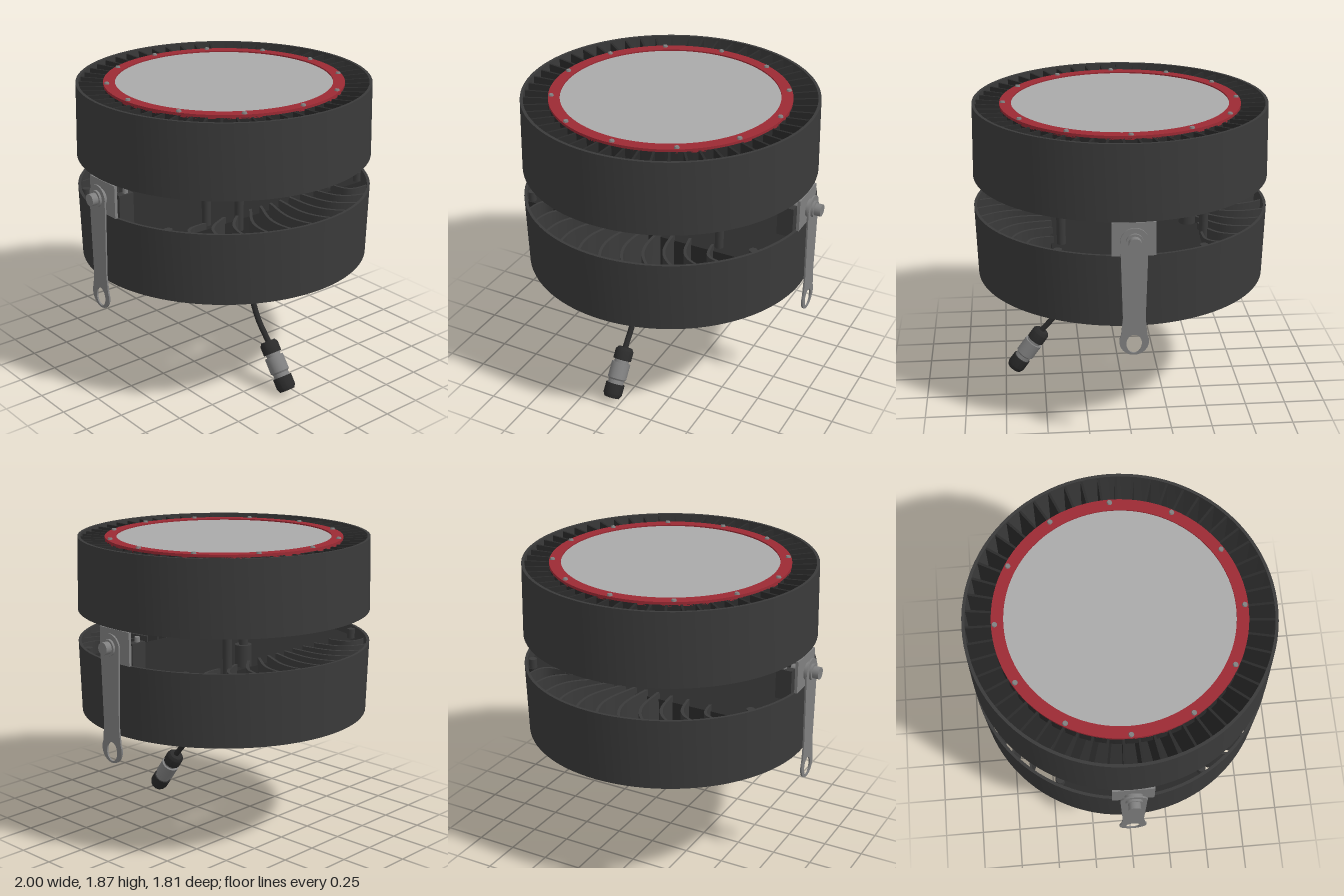
import * as THREE from 'three';
import { toCreasedNormals } from 'three/addons/utils/BufferGeometryUtils.js';

const material = (color) => new THREE.MeshStandardMaterial({ color, side: THREE.DoubleSide });
const HALF_BOX = 0.45; // half depth of the driver box

export function createModel() {
  const model = new THREE.Group();
  const dark = material(0x3a3a3a), black = material(0x2a2a2a), red = material(0x9c2a34);
  const lens = material(0xaaaaaa), steel = material(0x808080);

  const add = (name, geometry, mat, parent = model) => {
    const mesh = new THREE.Mesh(geometry, mat);
    mesh.name = name;
    parent.add(mesh);
    return mesh;
  };
  const lathe = (points, segments = 96) => toCreasedNormals(
    new THREE.LatheGeometry(points.map(([r, y]) => new THREE.Vector2(r, y)), segments), 0.6);
  const cylinder = (name, r0, r1, h, x, y, z, mat, parent = model, sides = 20) => {
    const mesh = add(name, new THREE.CylinderGeometry(r0, r1, h, sides), mat, parent);
    mesh.position.set(x, y, z);
    return mesh;
  };
  const box = (name, w, h, d, x, y, z, mat, parent = model) => {
    const mesh = add(name, new THREE.BoxGeometry(w, h, d), mat, parent);
    mesh.position.set(x, y, z);
    return mesh;
  };

  // Upper and lower shrouds, slightly tapered
  add('upperShroud', lathe([[0.905, 1.42], [0.895, 1.87], [0.877, 1.87], [0.887, 1.42], [0.905, 1.42]]), dark);
  add('lowerShroud', lathe([[0.895, 0.78], [0.907, 1.22], [0.889, 1.22], [0.877, 0.78], [0.895, 0.78]]), dark);

  // Heat sink: base plate, hub and radial fins
  add('heatSinkPlate', lathe([[0, 1.76], [0.73, 1.76], [0.73, 1.848], [0, 1.848]]), black);
  cylinder('heatSinkHub', 0.24, 0.22, 0.26, 0, 1.64, 0, black, model, 32);
  const finShape = new THREE.Shape([[0.2, 1.56], [0.6, 1.45], [0.885, 1.45], [0.885, 1.858],
    [0.725, 1.848], [0.725, 1.8], [0.2, 1.8]].map(([x, y]) => new THREE.Vector2(x, y)));
  const finGeometry = new THREE.ExtrudeGeometry(finShape, { depth: 0.014, bevelEnabled: false });
  finGeometry.translate(0, 0, -0.007);
  const fins = new THREE.Group();
  fins.name = 'heatSinkFins';
  model.add(fins);
  const finCount = 54;
  for (let i = 0; i < finCount; i++) {
    add('fin', finGeometry, black, fins).rotation.y = ((i + 0.5) / finCount) * Math.PI * 2;
  }

  // Lens with red clamping ring and its screws
  cylinder('lens', 0.67, 0.67, 0.012, 0, 1.85, 0, lens, model, 96);
  add('clampRing', lathe([[0.66, 1.84], [0.73, 1.84], [0.73, 1.864], [0.66, 1.864], [0.66, 1.84]]), red);
  for (let i = 0; i < 12; i++) {
    const a = (i / 12) * Math.PI * 2;
    cylinder('ringScrew', 0.013, 0.017, 0.012, 0.71 * Math.cos(a), 1.868, 0.71 * Math.sin(a), steel, model, 12);
  }

  // Driver box: a block cut to the round shroud, with a shallow conical underside
  const driver = new THREE.BoxGeometry(2, 2, 2, 40, 1, 20);
  const p = driver.attributes.position;
  const coneY = (x, z) => 0.735 + 0.055 * Math.hypot(x, z) / 0.885;
  for (let i = 0; i < p.count; i++) {
    const z = p.getZ(i) * HALF_BOX;
    const x = p.getX(i) * Math.sqrt(0.885 ** 2 - z * z);
    p.setXYZ(i, x, p.getY(i) > 0 ? 1.15 : coneY(x, z), z);
  }
  driver.computeVertexNormals();
  add('driverBox', driver, black);

  // Curved ribs fanning out over the underside
  const ribs = new THREE.Group();
  ribs.name = 'undersideRibs';
  model.add(ribs);
  for (let i = 0; i < 28; i++) {
    const points = [];
    for (let r = 0.08; r < 0.87; r += 0.03) {
      const a = (i / 28) * Math.PI * 2 + 0.5 * Math.sin(r * 4);
      const x = r * Math.cos(a), z = r * Math.sin(a);
      if (Math.abs(z) > 0.44) break;
      points.push(new THREE.Vector3(x, coneY(x, z), z));
    }
    add('rib', new THREE.TubeGeometry(new THREE.CatmullRomCurve3(points), 24, 0.011, 5), black, ribs);
  }

  // Bent vanes in the open segments on both sides of the driver box
  const vanes = new THREE.Group();
  vanes.name = 'airVanes';
  model.add(vanes);
  for (const side of [0, Math.PI]) {
    for (let i = 0; i < 11; i++) {
      const angle = side + Math.PI / 2 + (i - 5) * 0.17;
      const inner = (HALF_BOX - 0.01) / Math.abs(Math.sin(angle));
      const vane = new THREE.BoxGeometry(1, 0.32, 0.018, 10, 1, 1);
      const v = vane.attributes.position;
      for (let k = 0; k < v.count; k++) {
        const t = v.getX(k) + 0.5, r = inner + (0.89 - inner) * t;
        const a = angle + 0.09 * Math.sin(t * Math.PI), w = v.getZ(k);
        v.setXYZ(k, r * Math.cos(a) - w * Math.sin(a), v.getY(k) + 1.03, r * Math.sin(a) + w * Math.cos(a));
      }
      vane.computeVertexNormals();
      add('vane', vane, dark, vanes);
    }
  }

  // Tapered posts joining the two halves
  for (const [x, z] of [[-0.45, 0.39], [-0.26, 0.46], [0.24, -0.39], [0.45, -0.46], [0.52, 0.39]]) {
    cylinder('post', 0.033, 0.025, 0.7, x, 1.44, z, dark);
  }
  cylinder('postSocket', 0.05, 0.05, 0.16, 0.24, 1.2, -0.39, dark);

  // Side mounts, mirrored
  const strapShape = new THREE.Shape();
  strapShape.absarc(0, 0.705, 0.085, Math.PI * 0.85, Math.PI * 2.15);
  strapShape.lineTo(0.065, 0.85);
  strapShape.lineTo(0.078, 1.32);
  strapShape.absarc(0, 1.32, 0.08, 0, Math.PI);
  strapShape.lineTo(-0.065, 0.85);
  const hole = new THREE.Path();
  hole.absellipse(0, 0.69, 0.045, 0.058, 0, Math.PI * 2, true);
  strapShape.holes.push(hole);
  const strapGeometry = new THREE.ExtrudeGeometry(strapShape, { depth: 0.01, bevelEnabled: false, curveSegments: 24 });
  strapGeometry.rotateY(Math.PI / 2);
  for (const side of [1, -1]) {
    const mount = new THREE.Group();
    mount.name = side > 0 ? 'leftMount' : 'rightMount';
    mount.rotation.y = side > 0 ? 0 : Math.PI;
    model.add(mount);
    add('hangingStrap', strapGeometry, steel, mount).position.x = 0.937;
    box('mountPlate', 0.018, 0.2, 0.25, 0.9, 1.32, 0, steel, mount);
    for (const z of [-0.075, 0.075]) {
      box('mountBlock', 0.1, 0.22, 0.05, 0.81, 1.23, z, dark, mount);
      cylinder('blockScrew', 0.016, 0.016, 0.03, 0.8, 1.355, z, steel, mount, 12);
    }
    box('blockBridge', 0.05, 0.13, 0.14, 0.83, 1.25, 0, dark, mount);
    const bolt = [['boltShaft', 0.025, 0.16, 0.9, 20], ['washer', 0.055, 0.02, 0.925, 24],
      ['outerWasher', 0.05, 0.014, 0.954, 24], ['boltHead', 0.037, 0.04, 0.98, 20]];
    for (const [name, r, h, x, sides] of bolt) {
      cylinder(name, r, r, h, x, 1.32, 0, steel, mount, sides).rotation.z = Math.PI / 2;
    }
    for (const z of [-0.42, 0.42]) cylinder('cornerBoss', 0.025, 0.025, 0.08, 0.75, 1.17, z, dark, mount, 12);
  }

  // Safety clip below the centre
  const clip = new THREE.CatmullRomCurve3([[0, 0.755], [0.02, 0.735], [0.022, 0.68], [0.036, 0.6],
    [0.022, 0.568], [0, 0.56], [-0.022, 0.568], [-0.036, 0.6], [-0.022, 0.68], [-0.02, 0.735]]
    .map(([x, y]) => new THREE.Vector3(x, y, 0)), true);
  add('safetyClip', new THREE.TubeGeometry(clip, 60, 0.008, 8, true), steel);
  const eye = add('clipEye', new THREE.TorusGeometry(0.025, 0.009, 8, 20), dark);
  eye.position.y = 0.74;
  eye.rotation.y = Math.PI / 2;

  // Cable and its in-line connector
  const cable = new THREE.CatmullRomCurve3([[0.31, 0.8], [0.32, 0.7], [0.35, 0.55], [0.41, 0.42], [0.51, 0.3]]
    .map(([z, y]) => new THREE.Vector3(-0.06, y, z)));
  add('cable', new THREE.TubeGeometry(cable, 32, 0.018, 12), black);
  const plug = new THREE.Group();
  plug.name = 'cableConnector';
  plug.position.set(-0.06, 0.3, 0.505);
  plug.quaternion.setFromUnitVectors(new THREE.Vector3(0, 1, 0), new THREE.Vector3(0, -0.81, 0.586).normalize());
  model.add(plug);
  add('upperCap', lathe([[0, 0], [0.045, 0], [0.058, 0.02], [0.058, 0.08], [0, 0.08]], 12), black, plug);
  add('connectorBody', lathe([[0, 0.08], [0.046, 0.08], [0.046, 0.1], [0.06, 0.1], [0.06, 0.2],
    [0.05, 0.21], [0.05, 0.24], [0, 0.24]], 24), steel, plug);
  add('lowerCap', lathe([[0, 0.235], [0.06, 0.235], [0.06, 0.3], [0.048, 0.325], [0.025, 0.325],
    [0.025, 0.305], [0, 0.305]], 12), black, plug);
  return model;
}
